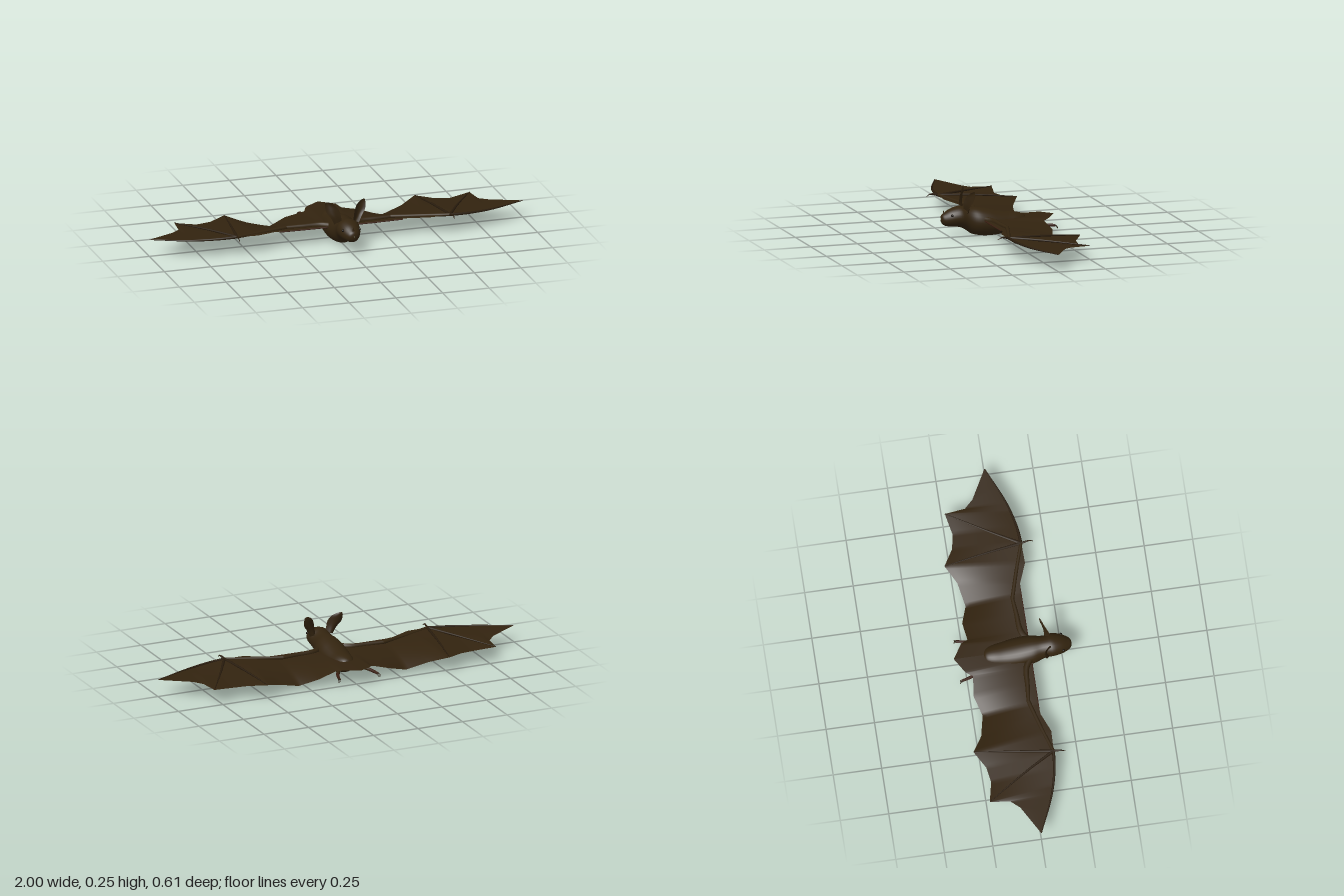
import * as THREE from 'three';

const mat = (name, color, side = THREE.FrontSide) => {
  const m = new THREE.MeshStandardMaterial({ color, side });
  m.name = name;
  return m;
};
const V = (p, s = 1) => new THREE.Vector3(p[0] * s, p[1], p[2]);

export function createModel() {
  const fur = mat('brown fur', 0x33240f);
  const skin = mat('brown wing skin', 0x32230f, THREE.DoubleSide);
  const bone = mat('dark brown bone', 0x291c0d);
  const foot = mat('reddish brown', 0x3a1e12);
  const dark = mat('near black', 0x120c06);

  const bat = new THREE.Group();
  bat.name = 'bat';
  const add = (parent, name, geo, material) => {
    const m = new THREE.Mesh(geo, material);
    m.name = name;
    parent.add(m);
    return m;
  };

  // Grid of points from a function of (u, v)
  const grid = (nu, nv, f, wrap = false) => {
    const pos = [], idx = [], row = wrap ? nv : nv + 1;
    for (let i = 0; i <= nu; i++)
      for (let j = 0; j < row; j++) pos.push(...f(i / nu, j / nv).toArray());
    for (let i = 0; i < nu; i++)
      for (let j = 0; j < nv; j++) {
        const k = (j + 1) % row;
        const a = i * row + j, b = i * row + k, c = a + row, d = b + row;
        idx.push(a, c, b, b, c, d);
      }
    const g = new THREE.BufferGeometry();
    g.setAttribute('position', new THREE.Float32BufferAttribute(pos, 3));
    g.setIndex(idx);
    g.computeVertexNormals();
    return g;
  };

  // Tube along points whose radius goes from r0 to r1
  const limb = (points, r0, r1, s, seg = 16) => {
    const curve = new THREE.CatmullRomCurve3(points.map(p => V(p, s)), false, 'centripetal');
    const g = new THREE.TubeGeometry(curve, seg, r0, 8);
    const p = g.attributes.position, v = new THREE.Vector3();
    for (let i = 0; i < p.count; i++) {
      const t = Math.floor(i / 9) / seg, c = curve.getPointAt(t);
      v.fromBufferAttribute(p, i).sub(c).multiplyScalar(1 + (r1 / r0 - 1) * t).add(c);
      p.setXYZ(i, v.x, v.y, v.z);
    }
    return g;
  };

  // Head and body: [z, half width, top, bottom] from nose to rump
  const sections = [
    [0.302, 0.002, 0.102, 0.096], [0.297, 0.02, 0.118, 0.078], [0.282, 0.034, 0.13, 0.064],
    [0.25, 0.05, 0.149, 0.057], [0.205, 0.06, 0.161, 0.053], [0.17, 0.056, 0.156, 0.036],
    [0.14, 0.06, 0.152, 0.015], [0.1, 0.072, 0.149, 0.004], [0.05, 0.076, 0.14, 0.0],
    [0, 0.073, 0.128, 0.003], [-0.05, 0.066, 0.118, 0.008], [-0.1, 0.056, 0.112, 0.018],
    [-0.135, 0.042, 0.102, 0.031], [-0.15, 0.024, 0.088, 0.045], [-0.155, 0.002, 0.068, 0.062]];
  const smooth = pts => new THREE.CatmullRomCurve3(pts, false, 'catmullrom');
  const top = smooth(sections.map(([z, w, t]) => new THREE.Vector3(w, t, z)));
  const bottom = smooth(sections.map(([z, w, , b]) => new THREE.Vector3(w, b, z)));
  add(bat, 'body', grid(56, 28, (u, v) => {
    const t = top.getPoint(u), b = bottom.getPoint(u), a = v * Math.PI * 2;
    return new THREE.Vector3(t.x * Math.cos(a),
      (t.y + b.y) / 2 + (t.y - b.y) / 2 * Math.sin(a), t.z);
  }, true), fur);

  // Upright leaf on the nose
  const leaf = add(bat, 'noseLeaf', new THREE.ConeGeometry(0.014, 0.034, 12), fur);
  leaf.scale.z = 0.55;
  leaf.rotation.x = 0.12;
  leaf.position.set(0, 0.128, 0.286);

  // Wing stations: leading edge and trailing edge, from midline to tip
  const lead = [[0, 0.09, 0.085], [0.05, 0.09, 0.085], [0.1, 0.09, 0.085], [0.18, 0.09, 0.085],
    [0.3, 0.09, 0.085], [0.36, 0.092, 0.09], [0.46, 0.098, 0.13], [0.57, 0.1, 0.127],
    [0.66, 0.095, 0.12], [0.75, 0.09, 0.1], [0.8, 0.09, 0.085], [0.9, 0.09, 0.045], [1, 0.09, 0]];
  const trail = [[0, 0.09, -0.305], [0.08, 0.086, -0.255], [0.1, 0.075, -0.22], [0.2, 0.05, -0.232],
    [0.3, 0.018, -0.2], [0.42, 0.05, -0.225], [0.51, 0.078, -0.278], [0.6, 0.07, -0.225],
    [0.68, 0.068, -0.212], [0.79, 0.08, -0.235], [0.803, 0.08, -0.13], [0.845, 0.084, -0.085],
    [1, 0.09, 0]];
  // Ear edges: inner and outer, from base to tip
  const earIn = [[0.03, 0.14, 0.187], [0.034, 0.17, 0.192], [0.04, 0.2, 0.187],
    [0.055, 0.225, 0.175], [0.08, 0.242, 0.16], [0.1, 0.247, 0.152]];
  const earOut = [[0.065, 0.13, 0.18], [0.083, 0.165, 0.174], [0.104, 0.195, 0.162],
    [0.108, 0.225, 0.153], [0.106, 0.24, 0.152], [0.1, 0.247, 0.152]];

  for (const s of [1, -1]) {
    const half = new THREE.Group();
    half.name = s > 0 ? 'leftSide' : 'rightSide';
    bat.add(half);

    // Membrane, sagging towards its trailing edge; straight runs between stations
    const line = pts => new THREE.CatmullRomCurve3(pts.map(p => V(p, s)), false, 'catmullrom', 0);
    const front = line(lead), back = line(trail);
    add(half, 'wingMembrane', grid(48, 12, (u, v) => {
      const a = front.getPoint(u), b = back.getPoint(u), y = a.y + (b.y - a.y) * v ** 1.6;
      return a.lerp(b, v).setY(y);
    }), skin);
    add(half, 'frontWingEdge', limb([[0.06, 0.087, 0.086], [0.2, 0.087, 0.086],
      [0.33, 0.088, 0.086]], 0.004, 0.003, s), foot);

    // Arm bones and fingers
    const wrist = [0.57, 0.1, 0.125];
    add(half, 'upperArm', limb([[0.045, 0.092, 0.09], [0.1, 0.092, 0.055],
      [0.2, 0.092, 0.046], [0.285, 0.092, 0.038]], 0.017, 0.009, s), fur);
    add(half, 'forearm', limb([[0.28, 0.092, 0.038], [0.42, 0.095, 0.078], wrist], 0.01, 0.008, s), fur);
    const fingers = [
      [wrist, [0.545, 0.096, -0.05], [0.51, 0.079, -0.277]],
      [wrist, [0.66, 0.095, -0.03], [0.79, 0.081, -0.235]],
      [wrist, [0.66, 0.096, 0.117], [0.8, 0.091, 0.083], [0.998, 0.09, 0.001]]];
    fingers.forEach((f, i) => add(half, 'finger' + (i + 1), limb(f, 0.008, 0.002, s), bone));
    add(half, 'thumb', limb([wrist, [0.573, 0.106, 0.15], [0.576, 0.106, 0.17],
      [0.574, 0.095, 0.187]], 0.007, 0.0015, s), bone);

    // Cupped ear
    const ei = smooth(earIn.map(p => V(p, s))), eo = smooth(earOut.map(p => V(p, s)));
    add(half, 'ear', grid(20, 10, (u, v) => {
      const p = ei.getPoint(u).lerp(eo.getPoint(u), v);
      p.z -= 0.016 * Math.sin(Math.PI * v) * (1 - u * u);
      return p;
    }), skin);

    // Eye
    const eye = add(half, 'eye', new THREE.SphereGeometry(0.007, 12, 8), dark);
    eye.position.set(s * 0.044, 0.121, 0.254);

    // Leg, foot and toes
    add(half, 'leg', limb([[0.03, 0.06, -0.11], [0.065, 0.06, -0.17],
      [0.09, 0.055, -0.22]], 0.016, 0.008, s), fur);
    add(half, 'foot', limb([[0.088, 0.055, -0.21], [0.1, 0.052, -0.245],
      [0.108, 0.05, -0.278]], 0.009, 0.007, s), foot);
    for (const k of [-1, 0, 1])
      add(half, 'toe', limb([[0.107 + k * 0.004, 0.052, -0.27], [0.11 + k * 0.006, 0.047, -0.284],
        [0.111 + k * 0.006, 0.035, -0.289]], 0.003, 0.001, s, 8), bone);
  }
  return bat;
}
